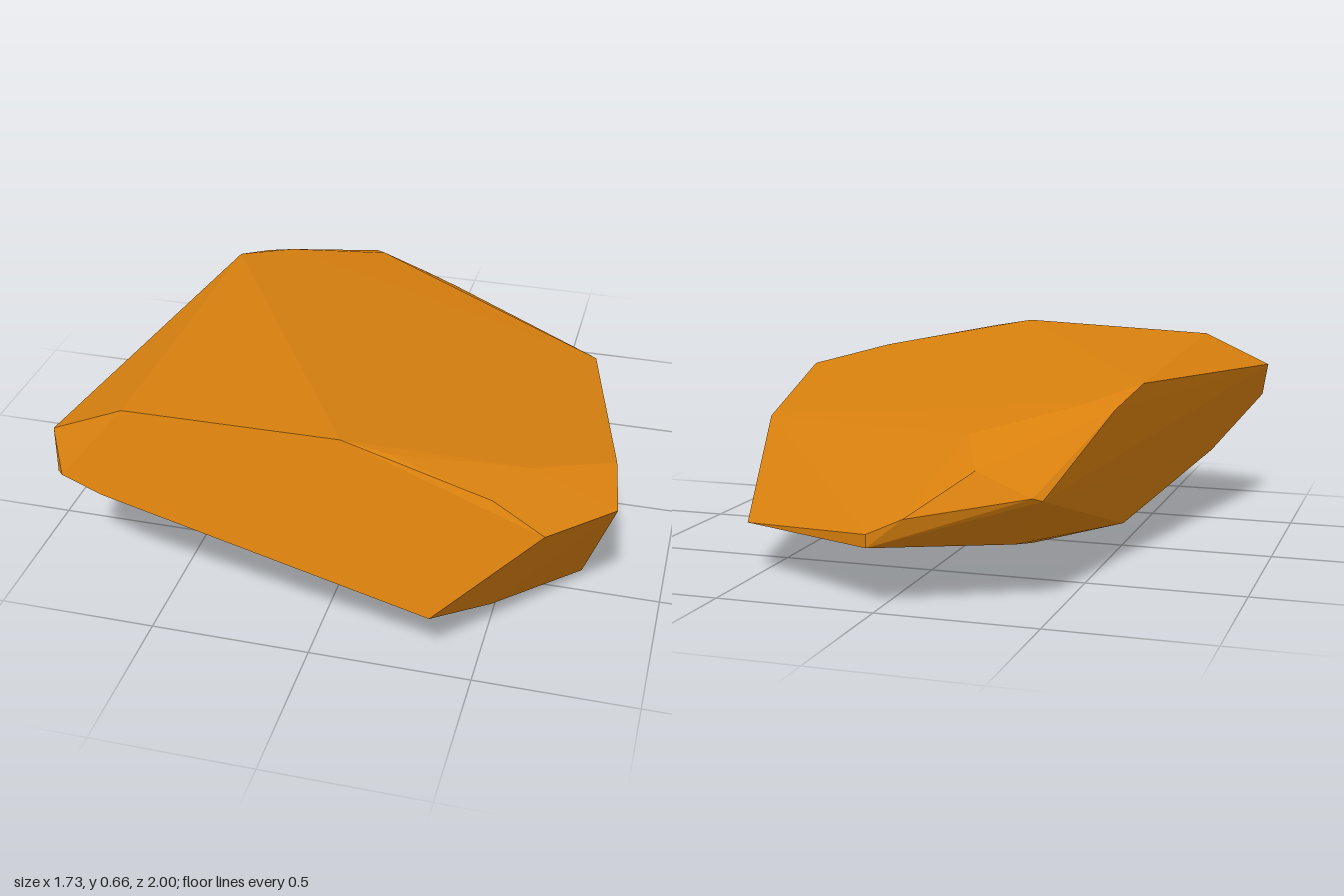
import * as THREE from 'three';
import { ConvexGeometry } from 'three/addons/geometries/ConvexGeometry.js';

// Corners of the faceted boulder, ring by ring [x, y, z]
const topRim = [
  [-0.63, 0.635, 0.79], [0.06, 0.66, 0.82], [0.2, 0.635, 0.82], [0.6, 0.56, 0.68],
  [0.83, 0.5, 0.5], [0.67, 0.42, -0.24], [-0.2, 0.485, -0.72], [-0.5, 0.56, -0.52],
  [-0.59, 0.545, -0.52], [-0.64, 0.605, -0.35],
];
const frontFace = [
  [-0.865, 0.53, 0.78], [-0.84, 0.41, 0.83], [-0.82, 0.41, 0.85], [-0.68, 0.38, 0.88],
  [0.37, 0.205, 1], [0.68, 0.49, 0.91], [0.52, 0.56, 0.87], [0.86, 0.46, 0.69],
];
const backFace = [
  [0.54, 0.16, -0.7], [0.02, 0.23, -1], [0.02, 0.19, -1], [-0.09, 0.28, -0.99],
  [-0.27, 0.41, -0.88], [-0.44, 0.34, -0.88], [-0.465, 0.33, -0.86],
];
const underside = [
  [0.51, 0.1, 0.76], [0.745, 0.04, 0.45], [0.72, 0.01, 0.34], [0.5, 0, 0.34],
  [-0.03, 0.02, 0.22], [-0.33, 0.07, 0.1], [-0.54, 0.115, -0.16], [-0.72, 0.26, 0.45],
  [-0.36, 0.14, -0.6], [-0.35, 0.17, -0.75],
];

export function createModel() {
  const group = new THREE.Group();
  group.name = 'boulder';

  // One solid with flat facets wrapped around all the corners
  const corners = [...topRim, ...frontFace, ...backFace, ...underside]
    .map((p) => new THREE.Vector3(...p));
  const rock = new THREE.Mesh(
    new ConvexGeometry(corners),
    new THREE.MeshStandardMaterial({ color: 0xd8800e, flatShading: true }),
  );
  rock.name = 'rock';
  group.add(rock);
  return group;
}
